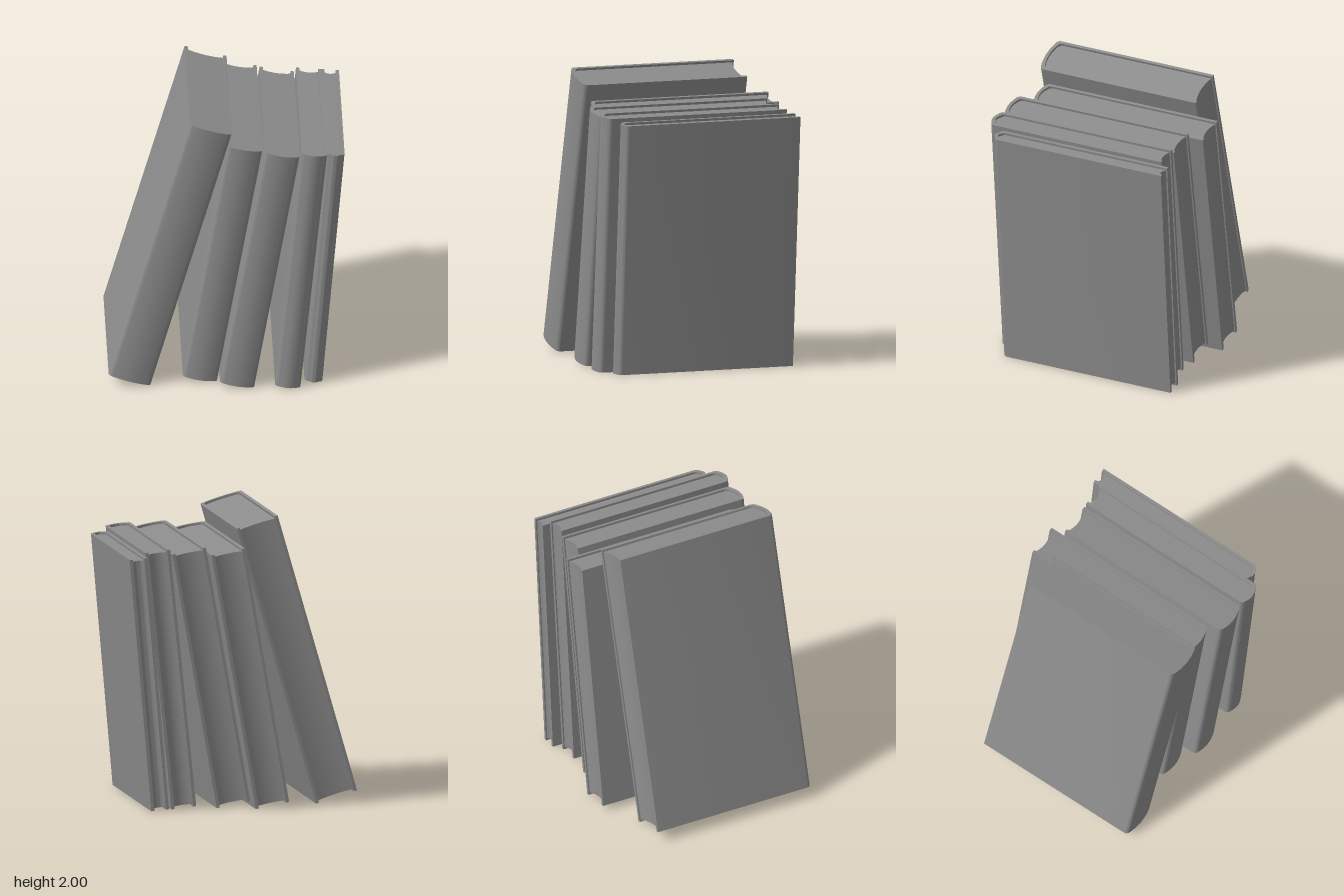
import * as THREE from 'three';
import { toCreasedNormals } from 'three/addons/utils/BufferGeometryUtils.js';

const BOARD = 0.022;   // cover thickness
const RECESS = 0.016;  // how far the pages sit inside the cover

// Each book: x of its lower right edge, width, height, lean (radians), back z, front z
const BOOKS = [
  { x: -0.52, w: 0.298, h: 1.992, lean: 0.282, back: -0.555, front: 0.643 },
  { x: -0.065, w: 0.237, h: 1.786, lean: 0.174, back: -0.71, front: 0.597 },
  { x: 0.186, w: 0.237, h: 1.786, lean: 0.174, back: -0.61, front: 0.697 },
  { x: 0.501, w: 0.174, h: 1.784, lean: 0.102, back: -0.605, front: 0.708 },
  { x: 0.653, w: 0.123, h: 1.744, lean: 0.087, back: -0.66, front: 0.622 },
];

// Rounded spine line from the right board round to the left one (shape y = -z)
function spine(shape, half, front) {
  const c = Math.min(0.03, half * 0.5);
  shape.lineTo(half, -(front - 0.05));
  shape.quadraticCurveTo(half, -(front - 0.022), half - c, -(front - 0.015));
  shape.quadraticCurveTo(0, -(front + 0.015), -half + c, -(front - 0.015));
  shape.quadraticCurveTo(-half, -(front - 0.022), -half, -(front - 0.05));
}

// Plan outline raised to a height, with smooth spine and sharp edges
function raise(shape, height, y, material, name) {
  let geo = new THREE.ExtrudeGeometry(shape, { depth: height, bevelEnabled: false, curveSegments: 8 });
  geo.rotateX(-Math.PI / 2);
  geo.translate(0, y, 0);
  geo = toCreasedNormals(geo, 0.6);
  const mesh = new THREE.Mesh(geo, material);
  mesh.name = name;
  return mesh;
}

function makeBook({ w, h, back, front }, material) {
  const book = new THREE.Group();
  const half = w / 2, inner = half - BOARD;

  // Cover: two boards joined by the spine, open at the back
  const outer = new THREE.Shape();
  outer.moveTo(half, -back);
  spine(outer, half, front);
  outer.lineTo(-half, -back);
  outer.lineTo(-inner, -back);
  const inside = new THREE.Shape();
  inside.moveTo(inner, -back);
  spine(inside, inner, front - BOARD);
  inside.getPoints(8).reverse().forEach((p) => outer.lineTo(p.x, p.y));
  book.add(raise(outer, h, 0, material, 'cover'));

  // Page block: rounded at the spine, hollowed at the fore-edge
  const edge = back + 0.01;
  const pages = new THREE.Shape();
  pages.moveTo(inner, -edge);
  spine(pages, inner, front - BOARD);
  pages.lineTo(-inner, -edge);
  pages.quadraticCurveTo(0, -(edge + 0.042), inner, -edge);
  book.add(raise(pages, h - 2 * RECESS, RECESS, material, 'pages'));
  return book;
}

export function createModel() {
  const model = new THREE.Group();
  model.name = 'leaningBooks';
  const material = new THREE.MeshStandardMaterial({ color: 0x8c8c8c });
  BOOKS.forEach((spec, i) => {
    const book = makeBook(spec, material);
    book.children.forEach((part) => { part.position.x = -spec.w / 2; });
    // Stands on its lower right edge and leans to the right
    book.position.set(spec.x, 0.004, 0);
    book.rotation.z = -spec.lean;
    book.name = `book${i + 1}`;
    model.add(book);
  });
  return model;
}
